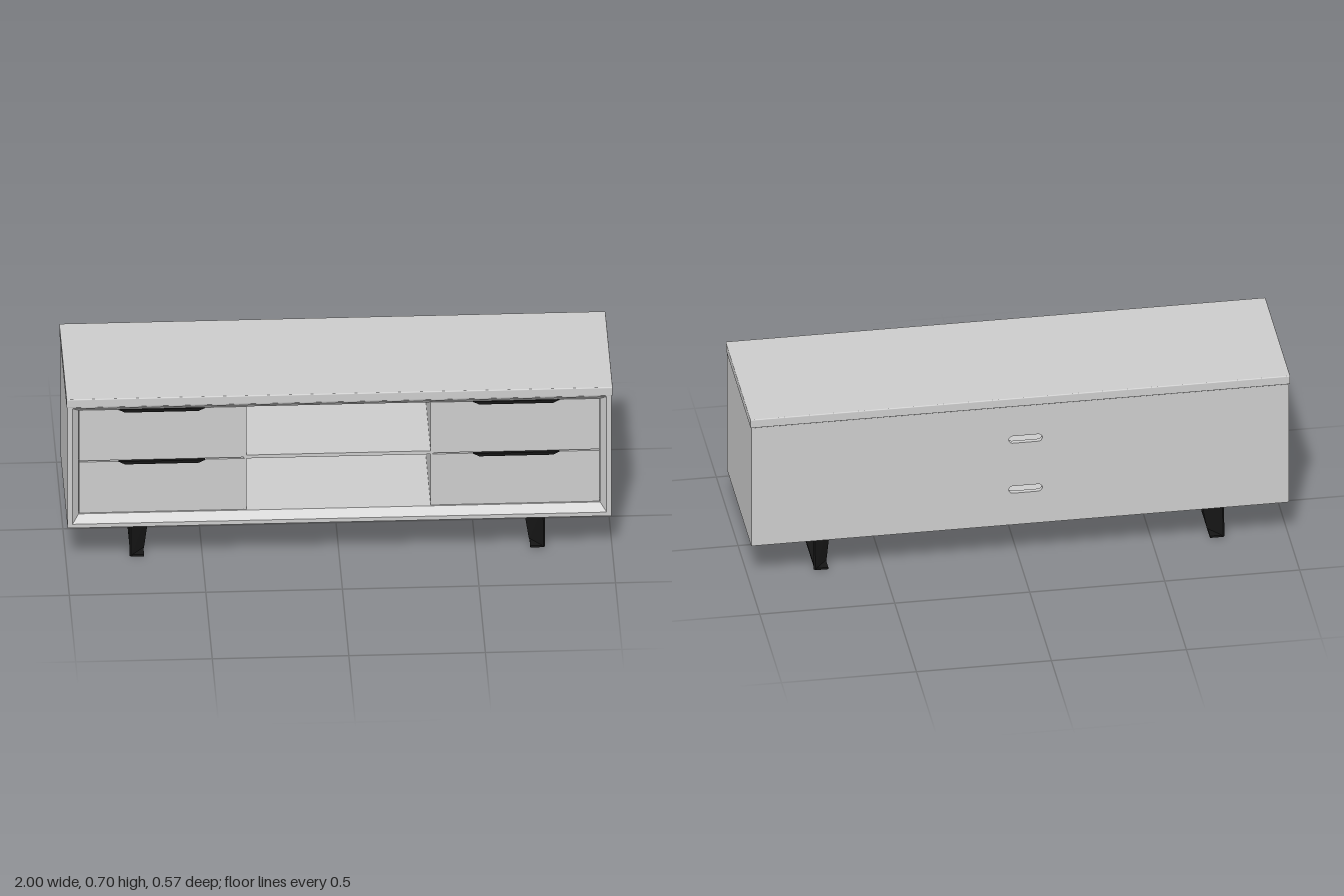
import * as THREE from 'three';
import { RoundedBoxGeometry } from 'three/addons/geometries/RoundedBoxGeometry.js';

const grey = new THREE.MeshStandardMaterial({ color: 0xcccccc });
const black = new THREE.MeshStandardMaterial({ color: 0x151515 });

function add(parent, name, geometry, material = grey) {
  const mesh = new THREE.Mesh(geometry, material);
  mesh.name = name;
  parent.add(mesh);
  return mesh;
}

// Box given by its limits on each axis
function box(parent, name, [x0, x1], [y0, y1], [z0, z1], material = grey) {
  const mesh = add(parent, name, new THREE.BoxGeometry(x1 - x0, y1 - y0, z1 - z0), material);
  mesh.position.set((x0 + x1) / 2, (y0 + y1) / 2, (z0 + z1) / 2);
  return mesh;
}

// Flat-faced geometry from quads listed counter-clockwise
function quads(list) {
  const pos = list.flatMap(([a, b, c, d]) => [a, b, c, a, c, d].flat());
  const g = new THREE.BufferGeometry();
  g.setAttribute('position', new THREE.Float32BufferAttribute(pos, 3));
  g.computeVertexNormals();
  return g;
}

// Rectangular sleeve: successive rectangles [halfWidth, bottom, top, z], joined in a closed loop
function sleeve(rects) {
  const corners = rects.map(([w, b, t, z]) => [[-w, b, z], [w, b, z], [w, t, z], [-w, t, z]]);
  const list = [];
  corners.forEach((p, i) => {
    const q = corners[(i + 1) % corners.length];
    for (let k = 0; k < 4; k++) {
      const n = (k + 1) % 4;
      list.push([p[k], p[n], q[n], q[k]]);
    }
  });
  return quads(list);
}

// Flat plate between a top edge and a bottom edge, thickened along (nx, nz)
function plate(topA, topB, botA, botB, nx, nz) {
  const shift = (p, s) => [p[0] + s * nx, p[1], p[2] + s * nz];
  const ring = [topA, topB, botB, botA];
  const f = ring.map((p) => shift(p, 1)), r = ring.map((p) => shift(p, -1));
  const list = [[...f], [...r].reverse()];
  for (let k = 0; k < 4; k++) {
    const n = (k + 1) % 4;
    list.push([f[k], r[k], r[n], f[n]]);
  }
  // Keep the faces outward whichever way the plate is mirrored
  const e1 = new THREE.Vector3(...topB).sub(new THREE.Vector3(...topA));
  const e2 = new THREE.Vector3(...botA).sub(new THREE.Vector3(...topA));
  const outward = e1.cross(e2).dot(new THREE.Vector3(nx, 0, nz)) > 0;
  return quads(outward ? list : list.map((q) => q.reverse()));
}

function slot(cx, cy, halfLength, r) {
  const p = new THREE.Path();
  p.moveTo(cx - halfLength + r, cy - r);
  p.lineTo(cx + halfLength - r, cy - r);
  p.absarc(cx + halfLength - r, cy, r, -Math.PI / 2, Math.PI / 2);
  p.lineTo(cx - halfLength + r, cy + r);
  p.absarc(cx - halfLength + r, cy, r, Math.PI / 2, Math.PI * 1.5);
  return p;
}

export function createModel() {
  const model = new THREE.Group();
  model.name = 'mediaCabinet';

  // Top board
  const top = add(model, 'topBoard', new RoundedBoxGeometry(2, 0.036, 0.574, 2, 0.004));
  top.position.y = 0.682;

  // Carcass with a chamfered front lip
  add(model, 'carcass', sleeve([
    [0.996, 0.16, 0.665, -0.279],
    [0.996, 0.16, 0.665, 0.283],
    [0.978, 0.176, 0.66, 0.283],
    [0.955, 0.204, 0.638, 0.256],
    [0.955, 0.204, 0.638, -0.279],
  ]));

  // Back panel with two cable slots
  const back = new THREE.Shape();
  back.moveTo(-0.98, 0.162);
  back.lineTo(0.98, 0.162);
  back.lineTo(0.98, 0.663);
  back.lineTo(-0.98, 0.663);
  back.closePath();
  back.holes.push(slot(-0.02, 0.522, 0.062, 0.015), slot(-0.02, 0.31, 0.062, 0.015));
  const backGeo = new THREE.ExtrudeGeometry(back, { depth: 0.018, bevelEnabled: false, curveSegments: 10 });
  add(model, 'backPanel', backGeo).position.z = -0.281;

  // Dividers and middle shelf
  for (const x of [-0.35, 0.335]) box(model, 'divider', [x, x + 0.01], [0.204, 0.638], [-0.264, 0.25]);
  box(model, 'shelf', [-0.342, 0.338], [0.416, 0.43], [-0.264, 0.248]);

  // Two drawers on each side, each with a tapered edge pull
  const pull = new THREE.Shape();
  pull.moveTo(-0.158, 0);
  pull.lineTo(-0.135, -0.012);
  pull.lineTo(0.135, -0.012);
  pull.lineTo(0.158, 0);
  pull.closePath();
  const pullGeo = new THREE.ExtrudeGeometry(pull, { depth: 0.022, bevelEnabled: false });
  for (const [x0, x1] of [[-0.953, -0.347], [0.342, 0.953]]) {
    for (const [y0, y1] of [[0.206, 0.419], [0.424, 0.636]]) {
      box(model, 'drawer', [x0, x1], [y0, y1], [-0.25, 0.253]);
      const handle = add(model, 'drawerPull', pullGeo, black);
      handle.position.set((x0 + x1) / 2, y1 + 0.003, 0.24);
    }
  }

  // Sled legs: diagonal tapered plates joined by a flat floor bar
  for (const [side, outer] of [[1, 0.752], [-1, -0.764]]) {
    const sled = new THREE.Group();
    sled.name = 'legFrame';
    model.add(sled);
    for (const front of [1, -1]) {
      add(sled, 'leg', plate(
        [outer, 0.161, front * 0.198],
        [outer - side * 0.076, 0.161, front * 0.115],
        [outer, 0.004, front * 0.223],
        [outer - side * 0.05, 0.004, front * 0.161],
        0.003 * side, -0.003 * front,
      ), black);
    }
    const bar = add(sled, 'floorBar', new THREE.BoxGeometry(0.05, 0.008, 0.44), black);
    bar.position.set(outer - side * 0.026, 0.004, 0);
  }
  return model;
}
